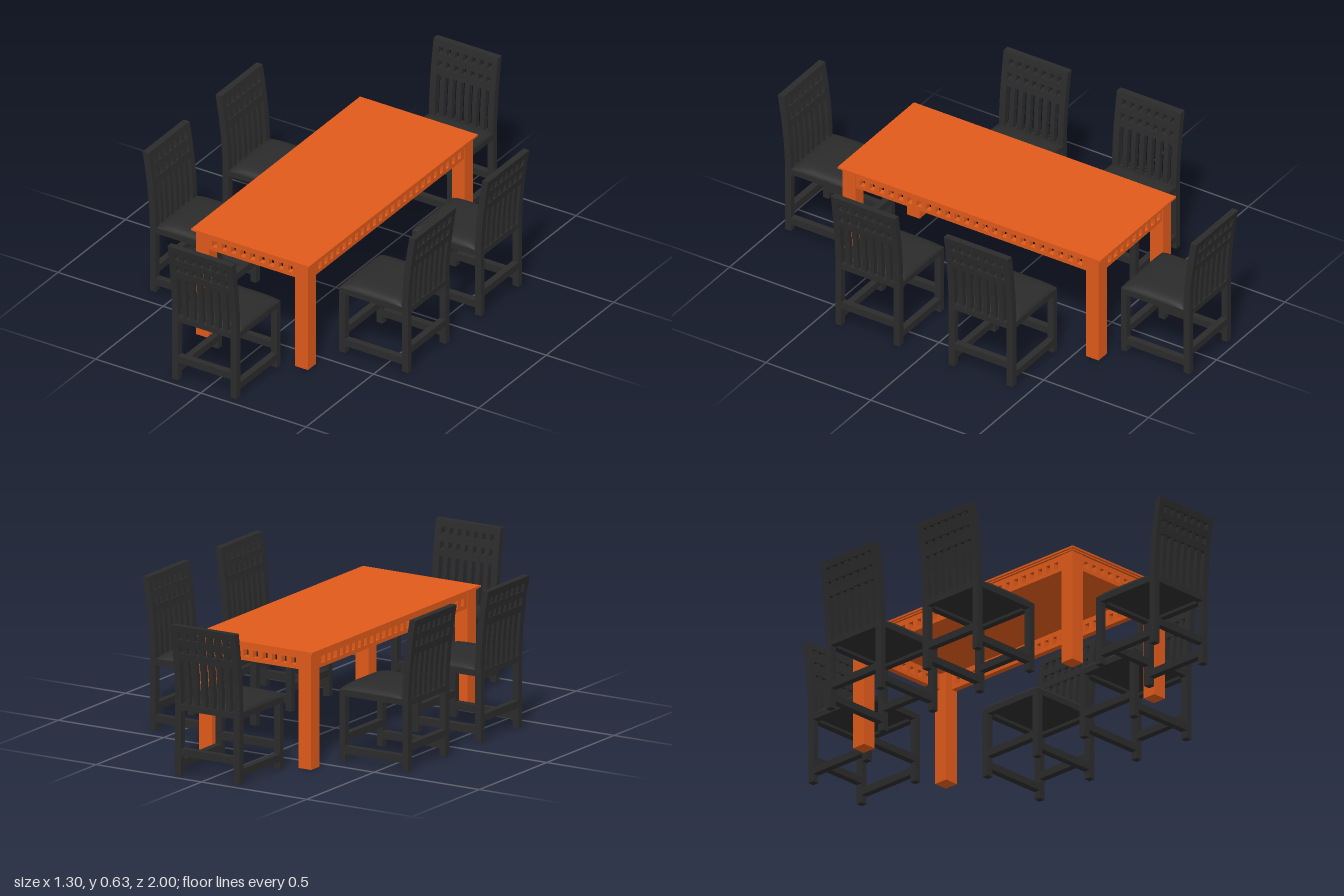
import * as THREE from 'three';

const orange = new THREE.MeshStandardMaterial({ color: 0xe05a1a });
const black = new THREE.MeshStandardMaterial({ color: 0x2b2b2b });

function add(parent, name, geometry, material) {
  const mesh = new THREE.Mesh(geometry, material);
  mesh.name = name;
  parent.add(mesh);
  return mesh;
}

// Box given by its lower and upper limits on each axis
function block(parent, name, material, [x0, x1], [y0, y1], [z0, z1], ySegments = 1) {
  const g = new THREE.BoxGeometry(x1 - x0, y1 - y0, z1 - z0, 1, ySegments, 1);
  g.translate((x0 + x1) / 2, (y0 + y1) / 2, (z0 + z1) / 2);
  return add(parent, name, g, material);
}

// ---------- Chair (faces +z) ----------
const HALF = 0.153, POST = 0.028, SEAT = 0.297, TOP = 0.63;
const BACK = -0.147, FRONT = 0.18;

// Sweep the part of a geometry above the seat backwards along a curve
function lean(mesh) {
  const p = mesh.geometry.attributes.position;
  for (let i = 0; i < p.count; i++) {
    const t = Math.max(0, (p.getY(i) - SEAT) / (TOP - SEAT));
    p.setZ(i, p.getZ(i) - 0.035 * Math.pow(t, 1.7));
  }
  mesh.geometry.computeVertexNormals();
}

// Domed upholstery: a grid, denser at its rim, raised in the middle
function cushionGeometry(w, z0, z1, base, height) {
  const g = new THREE.PlaneGeometry(2, 2, 20, 20).rotateX(-Math.PI / 2);
  const p = g.attributes.position;
  for (let i = 0; i < p.count; i++) {
    const u = Math.sin(p.getX(i) * Math.PI / 2);
    const v = Math.sin(p.getZ(i) * Math.PI / 2);
    const rise = Math.max(0, (1 - Math.abs(u) ** 5) * (1 - Math.abs(v) ** 5));
    p.setXYZ(i, u * w, base + height * Math.pow(rise, 0.6), (z0 + z1) / 2 + v * (z1 - z0) / 2);
  }
  g.computeVertexNormals();
  return g;
}

function createChair() {
  const chair = new THREE.Group();
  const inner = HALF - POST;
  const backZ = [BACK, BACK + POST], frontZ = [FRONT - POST, FRONT];
  const between = [BACK + POST, FRONT - POST];

  for (const s of [-1, 1]) {
    const x = s < 0 ? [-HALF, -inner] : [inner, HALF];
    block(chair, 'frontLeg', black, x, [0, SEAT], frontZ);
    block(chair, 'backLeg', black, x, [0, SEAT], backZ);
    lean(block(chair, 'backPost', black, x, [SEAT, TOP], backZ, 12));
    block(chair, 'sideSeatRail', black, x, [0.272, SEAT], between);
    block(chair, 'sideStretcher', black, x, [0.033, 0.064], between);
  }
  for (const [end, z] of [['front', frontZ], ['back', backZ]]) {
    block(chair, end + 'SeatRail', black, [-inner, inner], [0.272, SEAT], z);
    block(chair, end + 'Stretcher', black, [-inner, inner], [0.083, 0.113], z);
  }

  // Seat
  block(chair, 'seatPanel', black, [-inner, inner], [0.285, SEAT], between);
  add(chair, 'cushion', cushionGeometry(HALF, BACK + POST, FRONT, SEAT, 0.031), black);

  // Back rails and slats
  for (const y of [[0.481, 0.512], [0.542, 0.571], [0.601, TOP]]) {
    lean(block(chair, 'backRail', black, [-inner, inner], y, backZ, 2));
  }
  const slat = 0.0213, gap = (2 * inner - 6 * slat) / 7;
  for (let i = 0; i < 6; i++) {
    const x = -inner + gap + i * (slat + gap);
    lean(block(chair, 'backSlat', black, [x, x + slat], [SEAT, TOP - 0.01],
      [BACK + 0.003, BACK + POST - 0.003], 12));
  }
  return chair;
}

// ---------- Table ----------
// Pierced rail along x: an extruded board with a row of square holes
function apronGeometry(length, count) {
  const y0 = 0.408, y1 = 0.478, pitch = 0.045, hole = 0.0235;
  const rect = (path, a, b, c, d) =>
    path.moveTo(a, c).lineTo(b, c).lineTo(b, d).lineTo(a, d).closePath();
  const shape = rect(new THREE.Shape(), -length / 2, length / 2, y0, y1);
  for (let i = 0; i < count; i++) {
    const x = (i - (count - 1) / 2) * pitch;
    shape.holes.push(rect(new THREE.Path(), x - hole / 2, x + hole / 2, 0.425, 0.454));
  }
  return new THREE.ExtrudeGeometry(shape, { depth: 0.025, bevelEnabled: false })
    .translate(0, 0, -0.0125);
}

function createTable() {
  const table = new THREE.Group();
  const hx = 0.266, hz = 0.611, leg = 0.061;
  block(table, 'tableTop', orange, [-0.28, 0.28], [0.482, 0.49], [-0.626, 0.626]);
  block(table, 'topMoulding', orange, [-0.272, 0.272], [0.476, 0.482], [-0.618, 0.618]);
  for (const s of [-1, 1]) {
    for (const t of [-1, 1]) {
      const m = add(table, 'tableLeg', new THREE.BoxGeometry(leg, 0.478, leg), orange);
      m.position.set(s * (hx - leg / 2), 0.239, t * (hz - leg / 2));
    }
    const end = add(table, 'endApron', apronGeometry(2 * (hx - leg), 9), orange);
    end.position.z = s * (hz - 0.0155);
    const side = add(table, 'sideApron', apronGeometry(2 * (hz - leg), 24), orange);
    side.rotation.y = Math.PI / 2;
    side.position.x = s * (hx - 0.0155);
  }
  return table;
}

export function createModel() {
  const model = new THREE.Group();
  model.name = 'diningSet';

  const table = createTable();
  table.name = 'table';
  table.position.set(-0.004, 0, 0.004);
  model.add(table);

  // Two chairs on each long side, one at each end
  const places = [
    ['leftBackChair', 0.466, -0.272, -Math.PI / 2],
    ['leftFrontChair', 0.466, 0.268, -Math.PI / 2],
    ['rightBackChair', -0.467, -0.272, Math.PI / 2],
    ['rightFrontChair', -0.467, 0.268, Math.PI / 2],
    ['backChair', -0.006, -0.818, 0],
    ['frontChair', -0.006, 0.818, Math.PI],
  ];
  for (const [name, x, z, turn] of places) {
    const chair = createChair();
    chair.name = name;
    chair.position.set(x, 0, z);
    chair.rotation.y = turn;
    model.add(chair);
  }
  return model;
}
